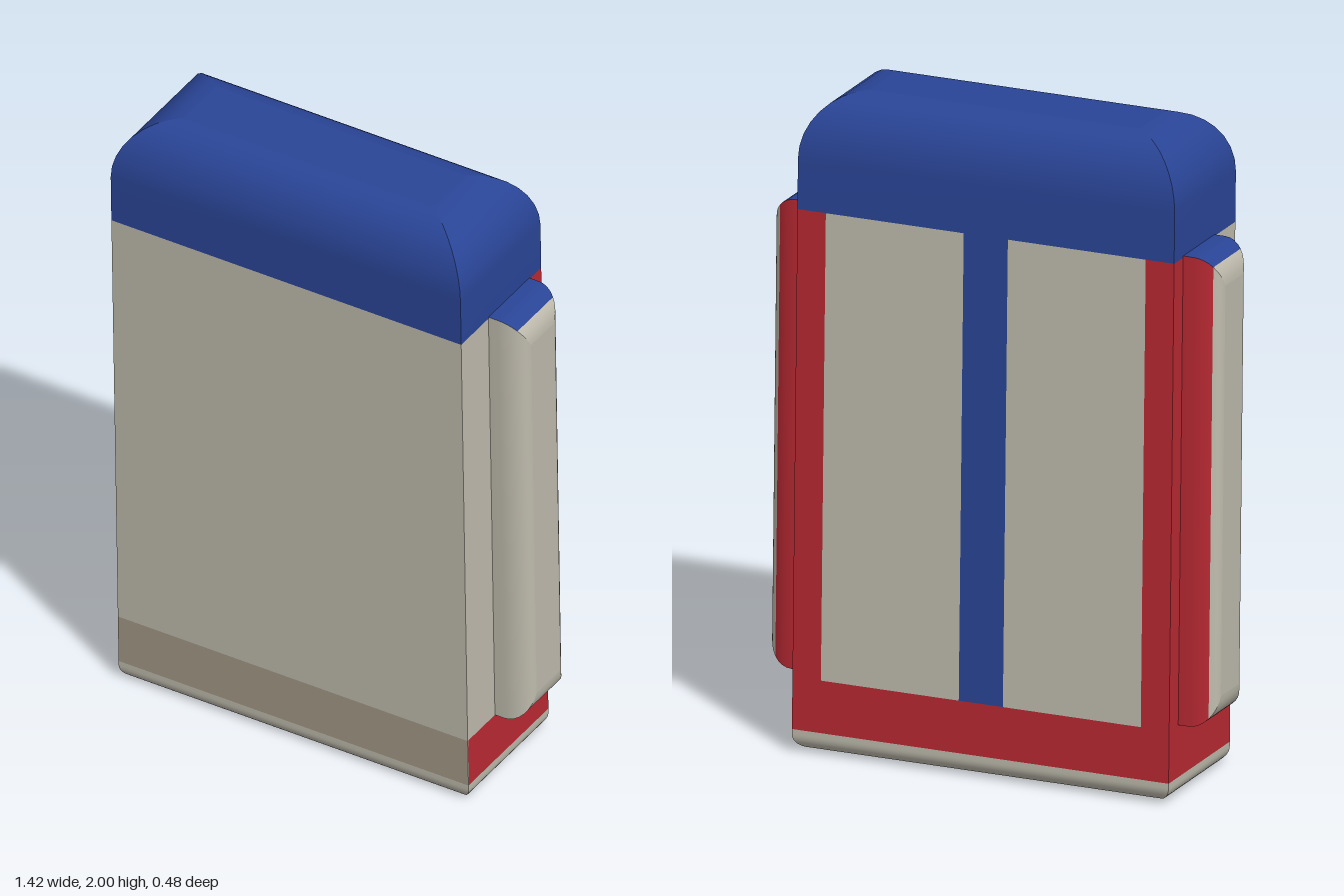
import * as THREE from 'three';

const mat = (color, side) => new THREE.MeshStandardMaterial({ color, side });
const BLUE = mat(0x2a4597), RED = mat(0xb92933), GREY = mat(0xbfbbad), BROWN = mat(0xa39886);

const HALF_W = 0.597, HALF_D = 0.22;
const STEPS = 8;

// Solid block given by its limits on each axis
function block(name, material, [x0, x1], [y0, y1], [z0, z1]) {
  const mesh = new THREE.Mesh(new THREE.BoxGeometry(x1 - x0, y1 - y0, z1 - z0), material);
  mesh.position.set((x0 + x1) / 2, (y0 + y1) / 2, (z0 + z1) / 2);
  mesh.name = name;
  return mesh;
}

// Rectangular pillow rising along +y: straight walls, then a rounded rim with mitred corners.
// sides: materials for +z, +x, -z, -x; the rim turns to topMat after `split` steps.
function pillow(name, halfX, halfZ, wall, rise, insetX, insetZ, sides, topMat, split = STEPS) {
  const group = new THREE.Group();
  group.name = name;
  const rings = [[halfX, 0, halfZ]];
  for (let i = 0; i <= STEPS; i++) {
    const t = (i / STEPS) * Math.PI / 2;
    const k = 1 - Math.cos(t);
    rings.push([halfX - insetX * k, wall + rise * Math.sin(t), halfZ - insetZ * k]);
  }
  const corners = [[-1, 1], [1, 1], [1, -1], [-1, -1]];
  sides.forEach((material, s) => {
    const a = corners[s], b = corners[(s + 1) % 4];
    const points = [], index = [];
    rings.forEach(([x, y, z], i) => {
      points.push(a[0] * x, y, a[1] * z, b[0] * x, y, b[1] * z);
      const n = i * 2;
      if (i < rings.length - 1) index.push(n, n + 1, n + 3, n, n + 3, n + 2);
    });
    const geo = new THREE.BufferGeometry();
    geo.setAttribute('position', new THREE.Float32BufferAttribute(points, 3));
    geo.setIndex(index);
    geo.computeVertexNormals();
    const cut = (split + 1) * 6;
    geo.addGroup(0, cut, 0);
    if (cut < index.length) geo.addGroup(cut, index.length - cut, 1);
    const mesh = new THREE.Mesh(geo, [material, topMat]);
    mesh.name = name + 'Side';
    group.add(mesh);
  });
  // Flat face closing the rim
  const [x, y, z] = rings[STEPS + 1];
  const face = new THREE.Mesh(new THREE.PlaneGeometry(2 * x, 2 * z).rotateX(-Math.PI / 2), topMat);
  face.position.y = y;
  face.name = name + 'Face';
  group.add(face);
  return group;
}

export function createModel() {
  const model = new THREE.Group();
  model.name = 'pack';

  // Whole pack leans slightly forward
  const body = new THREE.Group();
  body.name = 'body';
  body.rotation.x = 0.025;
  body.position.set(0, 0.004, -0.0225);
  model.add(body);

  const W = [-HALF_W, HALF_W], MID = [0.22, 1.645], BACK = [-HALF_D, -0.147];

  // Lower band with a brown front strip
  body.add(block('lowerBand', RED, W, [0.06, 0.22], [-HALF_D, 0.216]));
  body.add(block('frontStrip', BROWN, W, [0.06, 0.22], [0.216, HALF_D]));

  // Main block and the coloured back layer
  body.add(block('mainBlock', GREY, W, MID, [-0.147, HALF_D]));
  body.add(block('backStripe', BLUE, [-0.07, 0.07], MID, BACK));
  for (const s of [-1, 1]) {
    const span = (a, b) => (s > 0 ? [a, b] : [-b, -a]);
    body.add(block('backPanel', GREY, span(0.07, 0.507), MID, BACK));
    body.add(block('backEdge', RED, span(0.507, HALF_W), MID, BACK));
  }

  // Rounded lid and rounded underside
  const lid = pillow('lid', HALF_W, HALF_D, 0.155, 0.195, 0.17, 0.13, [BLUE, BLUE, BLUE, BLUE], BLUE);
  lid.position.y = 1.645;
  body.add(lid);
  const base = pillow('base', HALF_W, HALF_D, 0.015, 0.045, 0.05, 0.04, [GREY, GREY, GREY, GREY], GREY);
  base.rotation.x = Math.PI;
  base.position.y = 0.06;
  body.add(base);

  // Side pockets: blue on top, red beneath and behind
  for (const s of [-1, 1]) {
    const sides = s > 0 ? [GREY, RED, RED, BLUE] : [GREY, BLUE, RED, RED];
    const pocket = pillow(s > 0 ? 'leftPocket' : 'rightPocket',
      0.715, 0.1125, 0.033, 0.08, 0.09, 0.05, sides, GREY, 4);
    pocket.rotation.z = -s * Math.PI / 2;
    pocket.position.set(s * HALF_W, 0.935, -0.0425);
    body.add(pocket);
  }
  return model;
}
